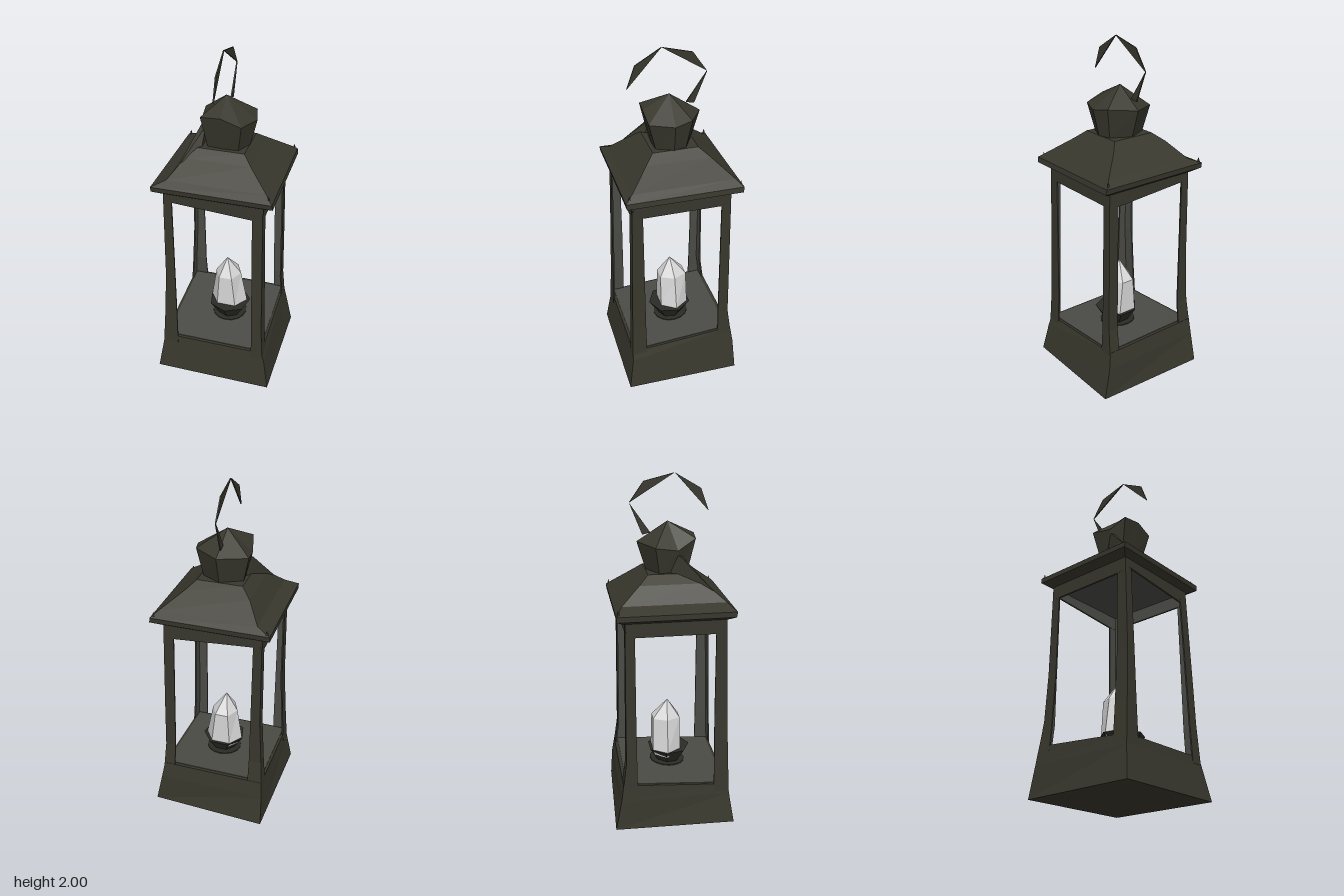
import * as THREE from 'three';

const mat = (name, color) => {
  const m = new THREE.MeshStandardMaterial({ color, side: THREE.DoubleSide, flatShading: true });
  m.name = name;
  return m;
};

// Closed solid through rings of [x, y, z], each counter-clockwise from above
function loft(rings) {
  const p = [];
  const fan = (r, up) => {
    for (let i = 1; i < r.length - 1; i++) p.push(...r[0], ...(up ? r[i] : r[i + 1]), ...(up ? r[i + 1] : r[i]));
  };
  for (let k = 0; k < rings.length - 1; k++) {
    const a = rings[k], b = rings[k + 1], n = a.length;
    for (let i = 0; i < n; i++) {
      const j = (i + 1) % n;
      p.push(...a[i], ...a[j], ...b[j], ...a[i], ...b[j], ...b[i]);
    }
  }
  fan(rings[0], false);
  fan(rings[rings.length - 1], true);
  const g = new THREE.BufferGeometry();
  g.setAttribute('position', new THREE.Float32BufferAttribute(p, 3));
  g.computeVertexNormals();
  return g;
}

// Rectangular ring in any corner order; y may be a function of x and z
function rect(xa, xb, za, zb, y) {
  const h = typeof y === 'function' ? y : () => y;
  const x0 = Math.min(xa, xb), x1 = Math.max(xa, xb), z0 = Math.min(za, zb), z1 = Math.max(za, zb);
  return [[x1, z1], [x1, z0], [x0, z0], [x0, z1]].map(([x, z]) => [x, h(x, z), z]);
}

export function createModel() {
  const model = new THREE.Group();
  model.name = 'lantern';
  const metal = mat('darkMetal', 0x38372d);
  const inner = mat('innerGrey', 0x4b4b46);
  const burnerMat = mat('burnerBlack', 0x2b2b26);
  const flameMat = mat('paleCrystal', 0xd6d6d6);
  const add = (name, geometry, material = metal) => {
    const m = new THREE.Mesh(geometry, material);
    m.name = name;
    model.add(m);
    return m;
  };

  // Flared, slightly skewed base with a tilted floor reaching the walls
  const floorY = (x, z) => 0.264 - 0.07 * z;
  add('base', loft([
    [[0.345, 0.005, 0.348], [0.35, 0.005, -0.322], [-0.33, 0.005, -0.35], [-0.352, 0.005, 0.345]],
    rect(-0.323, 0.312, -0.314, 0.318, 0.185),
    rect(-0.315, 0.294, -0.3, 0.311, floorY),
  ]));
  add('floor', loft([rect(-0.3, 0.28, -0.28, 0.295, floorY),
    rect(-0.3, 0.28, -0.28, 0.295, (x, z) => floorY(x, z) + 0.004)]), inner);

  // Corner posts: two thin sheet strips each, with paler inner faces.
  // Levels list the outer walls [y, left, right, back, front].
  const levels = [[0.2, -0.321, 0.302, -0.31, 0.317], [0.42, -0.306, 0.288, -0.28, 0.309],
    [0.7, -0.291, 0.283, -0.277, 0.301], [1.255, -0.288, 0.271, -0.271, 0.285]];
  const gapX = (sx, y) => (sx < 0 ? -0.228 - 0.01 * y : 0.235 - 0.018 * y);
  const gapZ = (sz) => (sz < 0 ? -0.219 : 0.228);
  for (const sx of [-1, 1]) {
    for (const sz of [-1, 1]) {
      const strip = (name, t0, t1, acrossX, material) => add(name, loft(levels.map(([y, l, r, b, f]) => {
        const x = sx < 0 ? l : r, z = sz < 0 ? b : f;
        return acrossX
          ? rect(x - sx * t0, gapX(sx, y), z - sz * t0, z - sz * t1, y)
          : rect(x - sx * t0, x - sx * t1, z - sz * t0, gapZ(sz), y);
      })), material);
      for (const acrossX of [true, false]) {
        strip('post', 0, 0.006, acrossX, metal);
        strip('postLining', 0.006, 0.009, acrossX, inner);
      }
    }
  }

  // Thin header strips below the roof, lined like the posts
  const slope = (x) => 1.181 - 0.07 * x;
  for (const [name, t0, t1, material] of [['header', 0, 0.008, metal], ['headerLining', 0.008, 0.011, inner]]) {
    for (const [s, z] of [[-1, -0.273], [1, 0.287]]) {
      const a = z - s * t0, b = z - s * t1;
      add(name, loft([rect(-0.28, 0.265, a, b, slope), rect(-0.28, 0.265, a, b, 1.26)]), material);
    }
    for (const [s, x] of [[-1, -0.289], [1, 0.273]]) {
      const a = x - s * t0, b = x - s * t1;
      add(name, loft([rect(a, b, -0.265, 0.28, 1.168), rect(a, b, -0.265, 0.28, 1.26)]), material);
    }
  }
  add('ceiling', loft([rect(-0.278, 0.262, -0.262, 0.276, 1.246), rect(-0.278, 0.262, -0.262, 0.276, 1.25)]), inner);

  // Eave and hipped roof, a little uneven
  add('eave', loft([
    rect(-0.295, 0.285, -0.28, 0.29, 1.25),
    rect(-0.342, 0.333, -0.318, 0.325, 1.275),
    rect(-0.342, 0.328, -0.322, 0.33, 1.305),
  ]));
  add('roof', loft([
    rect(-0.342, 0.328, -0.322, 0.33, 1.305),
    rect(-0.265, 0.29, -0.285, 0.288, 1.338),
    rect(-0.19, 0.175, -0.18, 0.18, 1.428),
    rect(-0.135, 0.125, -0.125, 0.13, 1.473),
  ]));
  add('roofFold', loft([
    [[-0.12, 1.42, 0.14], [-0.12, 1.42, 0.0], [-0.235, 1.36, 0.25]],
    [[-0.11, 1.57, 0.06], [-0.11, 1.57, 0.01], [-0.14, 1.57, 0.05]],
  ]));
  for (const [x, z] of [[-0.325, -0.31], [0.31, -0.308], [0.305, 0.305]]) {
    const tip = add('eaveTip', new THREE.ConeGeometry(0.022, 0.06, 3));
    tip.position.set(x, 1.308, z);
  }

  // Faceted chimney cap narrowing downwards
  const cap = [[0.11, 1.63, 0.145], [0.165, 1.625, 0.015], [0.14, 1.64, -0.085], [0, 1.63, -0.17],
    [-0.155, 1.62, -0.085], [-0.14, 1.6, 0.04], [-0.115, 1.66, 0.14], [0, 1.67, 0.15]];
  add('chimneyCap', loft([
    cap.map(([x, , z]) => [x * 0.76, 1.46, z * 0.69]),
    cap,
    cap.map(() => [-0.01, 1.742, 0]),
  ]));

  // Broken carrying ring made of three tapered slivers
  const slivers = [
    [[0.23, 1.79], [0.185, 1.915], [0.04, 2.0]],
    [[0.04, 2.0], [-0.13, 1.958], [-0.21, 1.845]],
    [[-0.21, 1.845], [-0.14, 1.67], [-0.095, 1.68]],
  ];
  for (const pts of slivers) {
    const shape = new THREE.Shape(pts.map(([z, y]) => new THREE.Vector2(-z, y)));
    const g = new THREE.ExtrudeGeometry(shape, { depth: 0.007, bevelEnabled: false });
    g.rotateY(Math.PI / 2);
    add('handle', g).position.x = -0.017;
  }

  // Burner bowl on a dark disc
  const disc = add('burnerDisc', new THREE.CylinderGeometry(0.105, 0.105, 0.006, 16), burnerMat);
  disc.position.set(0.01, 0.27, 0);
  disc.rotation.x = 0.07;
  const bowl = add('burnerBowl', new THREE.CylinderGeometry(0.128, 0.07, 0.09, 7), burnerMat);
  bowl.position.set(0.012, 0.312, 0.008);

  // Pointed pale crystal
  const hex = (rx, rz, y, cx, cz) => Array.from({ length: 6 }, (_, i) => {
    const t = i * Math.PI / 3;
    return [cx + rx * Math.cos(t), y, cz - rz * Math.sin(t)];
  });
  add('crystal', loft([
    hex(0.1, 0.08, 0.32, 0.005, -0.01), hex(0.113, 0.095, 0.36, 0.005, -0.01),
    hex(0.078, 0.092, 0.56, 0, -0.01), hex(0.001, 0.001, 0.67, -0.005, 0),
  ]), flameMat);

  return model;
}
